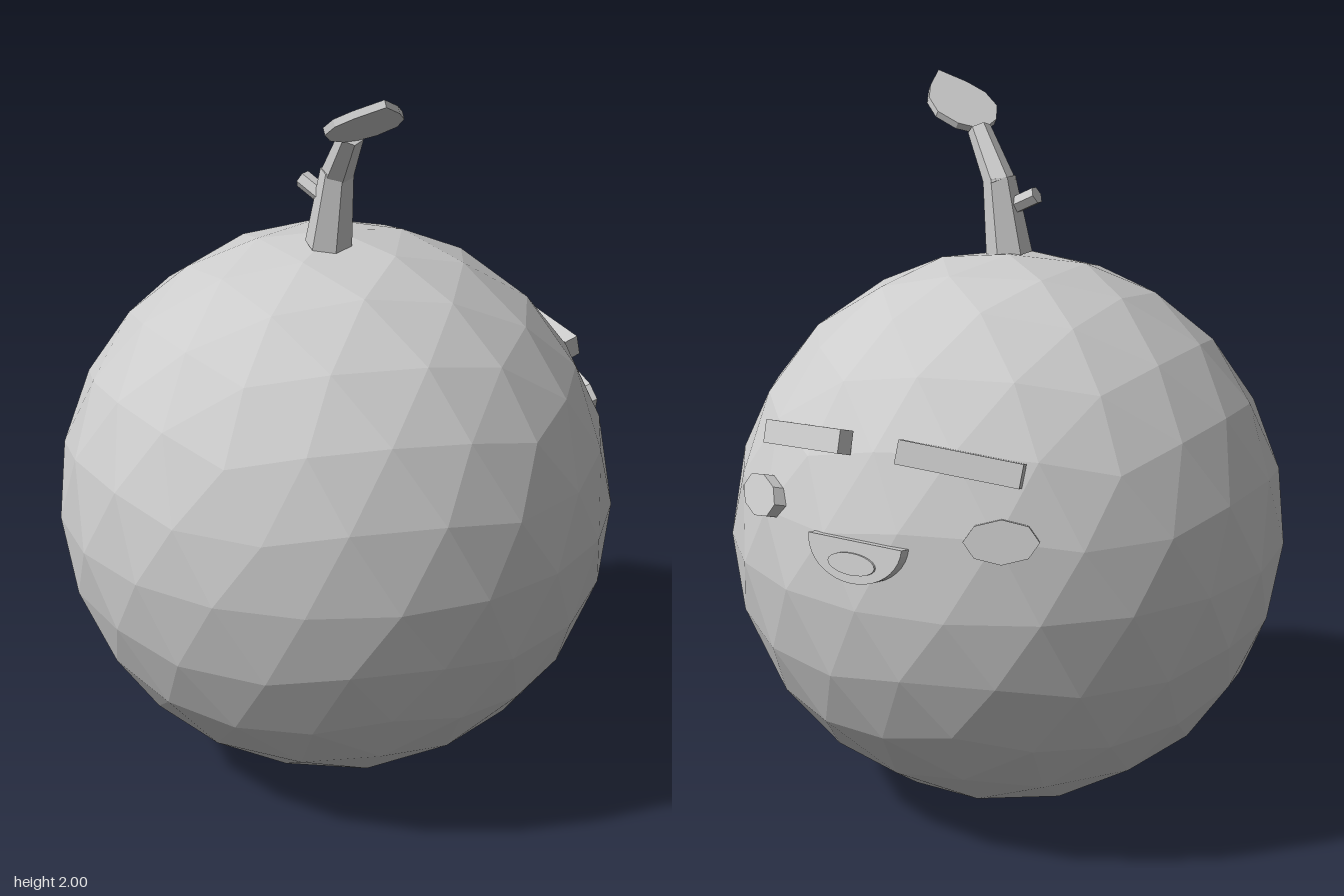
import * as THREE from 'three';

const V = (x, y, z) => new THREE.Vector3(x, y, z);

// Icosphere with a vertex at each pole, split by repeated edge halving
function icosphere(radius, levels) {
  const ring = (count, y, r, start) => Array.from({ length: count }, (_, i) => {
    const a = start + (i * 2 * Math.PI) / count;
    return V(r * Math.cos(a), y, r * Math.sin(a));
  });
  const h = 1 / Math.sqrt(5), top = V(0, 1, 0), bottom = V(0, -1, 0);
  const up = ring(5, h, 2 * h, 0), low = ring(5, -h, 2 * h, Math.PI / 5);
  let faces = [];
  for (let i = 0; i < 5; i++) {
    const j = (i + 1) % 5;
    faces.push([top, up[j], up[i]], [up[i], up[j], low[i]],
      [up[j], low[j], low[i]], [bottom, low[i], low[j]]);
  }
  const mid = (a, b) => a.clone().add(b).normalize();
  for (let n = 0; n < levels; n++) {
    faces = faces.flatMap(([a, b, c]) => {
      const ab = mid(a, b), bc = mid(b, c), ca = mid(c, a);
      return [[a, ab, ca], [ab, b, bc], [ca, bc, c], [ab, bc, ca]];
    });
  }
  const geo = new THREE.BufferGeometry().setFromPoints(
    faces.flat().map((p) => p.clone().multiplyScalar(radius)));
  geo.computeVertexNormals();
  return geo;
}

export function createModel() {
  const model = new THREE.Group();
  const grey = new THREE.MeshStandardMaterial({ color: 0xcccccc, flatShading: true });
  grey.name = 'plain grey';

  const add = (name, geo, pos) => {
    const mesh = new THREE.Mesh(geo, grey);
    mesh.name = name;
    mesh.position.copy(pos);
    model.add(mesh);
    return mesh;
  };
  const face = (mesh, normal) => mesh.lookAt(mesh.position.clone().add(normal));

  // Faceted fruit body
  const centre = V(0, 0.777, 0.005);
  add('body', icosphere(0.775, 2), centre);

  // Six-sided tapered stem pieces
  const rod = (name, from, to, r0, r1) => {
    const dir = to.clone().sub(from);
    const mesh = add(name, new THREE.CylinderGeometry(r1, r0, dir.length(), 6),
      from.clone().add(to).multiplyScalar(0.5));
    mesh.quaternion.setFromUnitVectors(V(0, 1, 0), dir.normalize());
  };
  rod('lowerStem', V(0.038, 1.535, 0.075), V(0.073, 1.745, 0.08), 0.064, 0.045);
  rod('upperStem', V(0.065, 1.725, 0.075), V(0.165, 1.865, 0.128), 0.044, 0.033);
  rod('twig', V(0.06, 1.655, 0.082), V(-0.04, 1.705, 0.09), 0.025, 0.025);

  // Leaf: pointed flat outline along its own x axis
  const leafShape = new THREE.Shape();
  const half = [[0.035, 0.065], [0.09, 0.1], [0.15, 0.095], [0.2, 0.062]];
  leafShape.moveTo(0, 0);
  half.forEach(([u, v]) => leafShape.lineTo(u, -v));
  leafShape.lineTo(0.262, 0);
  half.slice().reverse().forEach(([u, v]) => leafShape.lineTo(u, v));
  leafShape.closePath();
  const leafGeo = new THREE.ExtrudeGeometry(leafShape, { depth: 0.02, bevelEnabled: false });
  leafGeo.translate(0, 0, -0.01);
  const leaf = add('leaf', leafGeo, V(0.16, 1.855, 0.137));
  const along = V(0.2, 0.14, 0.09).normalize();
  const across = V(0.08, 0, -0.18).normalize();
  const up = along.clone().cross(across).normalize();
  leaf.quaternion.setFromRotationMatrix(
    new THREE.Matrix4().makeBasis(along, up.clone().cross(along), up));

  // Brows and eyes, mirrored, on the -z side
  for (const s of [1, -1]) {
    const side = s > 0 ? 'left' : 'right';
    const brow = add(side + 'Brow', new THREE.BoxGeometry(0.32, 0.062, 0.042),
      V(s * 0.23, 1.166, -0.63));
    face(brow, V(s * 0.34, 0.3, -0.94));
    brow.rotateZ(s * 0.14);

    const eyeGeo = new THREE.CylinderGeometry(1, 1, 0.04, 8);
    eyeGeo.rotateX(Math.PI / 2).scale(0.095, 0.056, 1);
    const eyePos = V(s * 0.358, 0.99, -0.647);
    face(add(side + 'Eye', eyeGeo, eyePos), eyePos.clone().sub(centre));
  }

  // Open smiling mouth with a tongue
  const mouthShape = new THREE.Shape();
  mouthShape.absellipse(0, 0, 0.14, 0.108, Math.PI, 2 * Math.PI, false);
  mouthShape.closePath();
  const outward = V(0, 0.2, -1);
  const mouth = add('mouth', new THREE.ExtrudeGeometry(mouthShape,
    { depth: 0.034, bevelEnabled: false, curveSegments: 10 }), V(0, 0.957, -0.73));
  face(mouth, outward);

  const tongueShape = new THREE.Shape();
  tongueShape.absellipse(0, -0.058, 0.07, 0.028, 0, 2 * Math.PI, false);
  const tongue = add('tongue', new THREE.ExtrudeGeometry(tongueShape,
    { depth: 0.041, bevelEnabled: false, curveSegments: 12 }), V(0, 0.957, -0.73));
  face(tongue, outward);

  return model;
}
